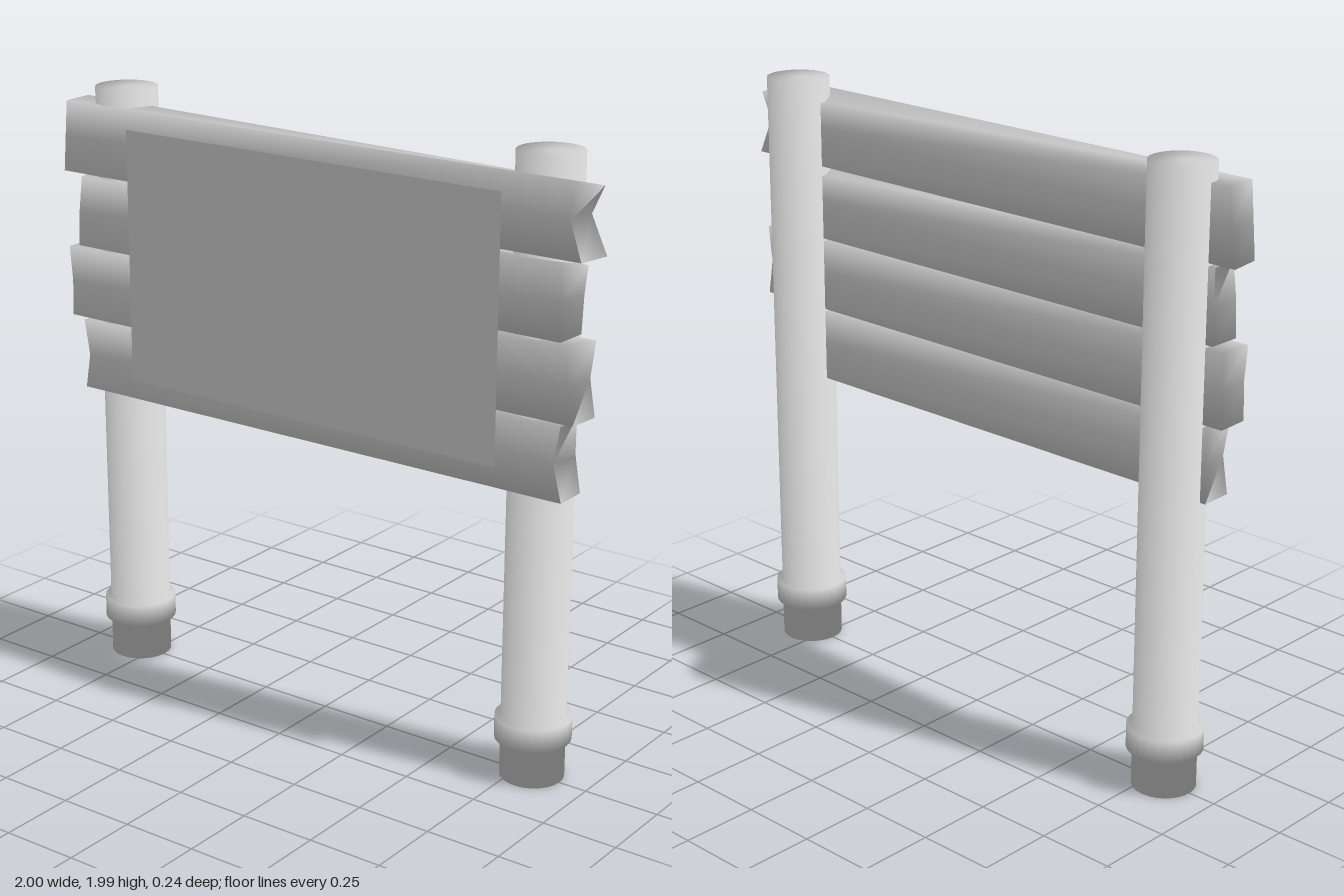
import * as THREE from 'three';
import { mergeVertices } from 'three/addons/utils/BufferGeometryUtils.js';

const material = new THREE.MeshStandardMaterial({ color: 0xcccccc });

function add(group, geometry, name, mat = material) {
  const mesh = new THREE.Mesh(geometry, mat);
  mesh.name = name;
  group.add(mesh);
  return mesh;
}

// Post with foot and collar turned in one piece, softly shaded across its edges
function postGeometry() {
  const profile = [[0, 0], [0.102, 0], [0.102, 0.13], [0.121, 0.13],
    [0.121, 0.205], [0.102, 0.205], [0.102, 1.99], [0, 1.99]];
  const geo = new THREE.LatheGeometry(profile.map(([r, y]) => new THREE.Vector2(r, y)), 24);
  const normal = geo.attributes.normal;
  for (let i = 0; i < normal.count; i++) {
    const row = i % profile.length;
    const angle = Math.floor(i / profile.length) / 24 * Math.PI * 2;
    const out = row === 0 || row === 7 ? 0 : Math.SQRT1_2;
    const up = (row < 4 ? -1 : 1) * Math.sqrt(1 - out * out);
    normal.setXYZ(i, Math.sin(angle) * out, up, Math.cos(angle) * out);
  }
  return geo;
}

// Plank with rough sawn ends: each end lists x at bottom, middle and top
const H = 0.235, DEPTH = 0.11;
function plankGeometry({ leftFront, leftBack, rightFront, rightBack, drop }) {
  const geo = new THREE.BoxGeometry(2, H, DEPTH, 1, 2, 1);
  const p = geo.attributes.position;
  for (let i = 0; i < p.count; i++) {
    const row = Math.round(p.getY(i) / (H / 2)) + 1;
    const front = p.getZ(i) > 0, right = p.getX(i) > 0;
    const ends = right ? (front ? rightFront : rightBack) : (front ? leftFront : leftBack);
    p.setX(i, ends[row]);
    if (right && !front && row === 2) p.setY(i, p.getY(i) - drop);
  }
  geo.deleteAttribute('normal');
  geo.deleteAttribute('uv');
  const welded = mergeVertices(geo);
  welded.computeVertexNormals();
  return welded;
}

// Planks from bottom to top
const PLANKS = [
  { leftFront: [-0.92, -0.9, -0.92], leftBack: [-0.925, -0.92, -0.925],
    rightFront: [0.94, 0.91, 0.93], rightBack: [0.94, 0.92, 0.92], drop: 0 },
  { leftFront: [-0.97, -0.965, -0.975], leftBack: [-0.975, -0.965, -0.975],
    rightFront: [0.97, 0.955, 0.93], rightBack: [0.98, 0.96, 0.975], drop: 0 },
  { leftFront: [-0.93, -0.925, -0.91], leftBack: [-0.93, -0.93, -0.93],
    rightFront: [0.92, 0.915, 0.91], rightBack: [0.925, 0.93, 0.94], drop: 0.025 },
  { leftFront: [-0.985, -0.975, -0.965], leftBack: [-1, -0.985, -0.97],
    rightFront: [0.98, 0.94, 0.945], rightBack: [1, 0.945, 0.985], drop: 0.03 },
];

export function createModel() {
  const group = new THREE.Group();
  group.name = 'signboard';

  // Two posts
  const post = postGeometry();
  for (const side of [-1, 1]) {
    const mesh = add(group, post, side > 0 ? 'leftPost' : 'rightPost');
    mesh.position.set(side * 0.803, 0, -0.002);
  }

  // Stacked planks on the front half of the posts
  PLANKS.forEach((plank, i) => {
    const mesh = add(group, plankGeometry(plank), `plank${i + 1}`);
    mesh.position.set(0, 0.97 + H / 2 + i * 0.245, DEPTH / 2);
  });

  // Thin notice sheet
  const sheetMaterial = new THREE.MeshStandardMaterial({ color: 0xcccccc, side: THREE.DoubleSide });
  const sheet = add(group, new THREE.PlaneGeometry(1.42, 0.84), 'noticeSheet', sheetMaterial);
  sheet.position.set(0, 1.455, DEPTH + 0.003);

  return group;
}
